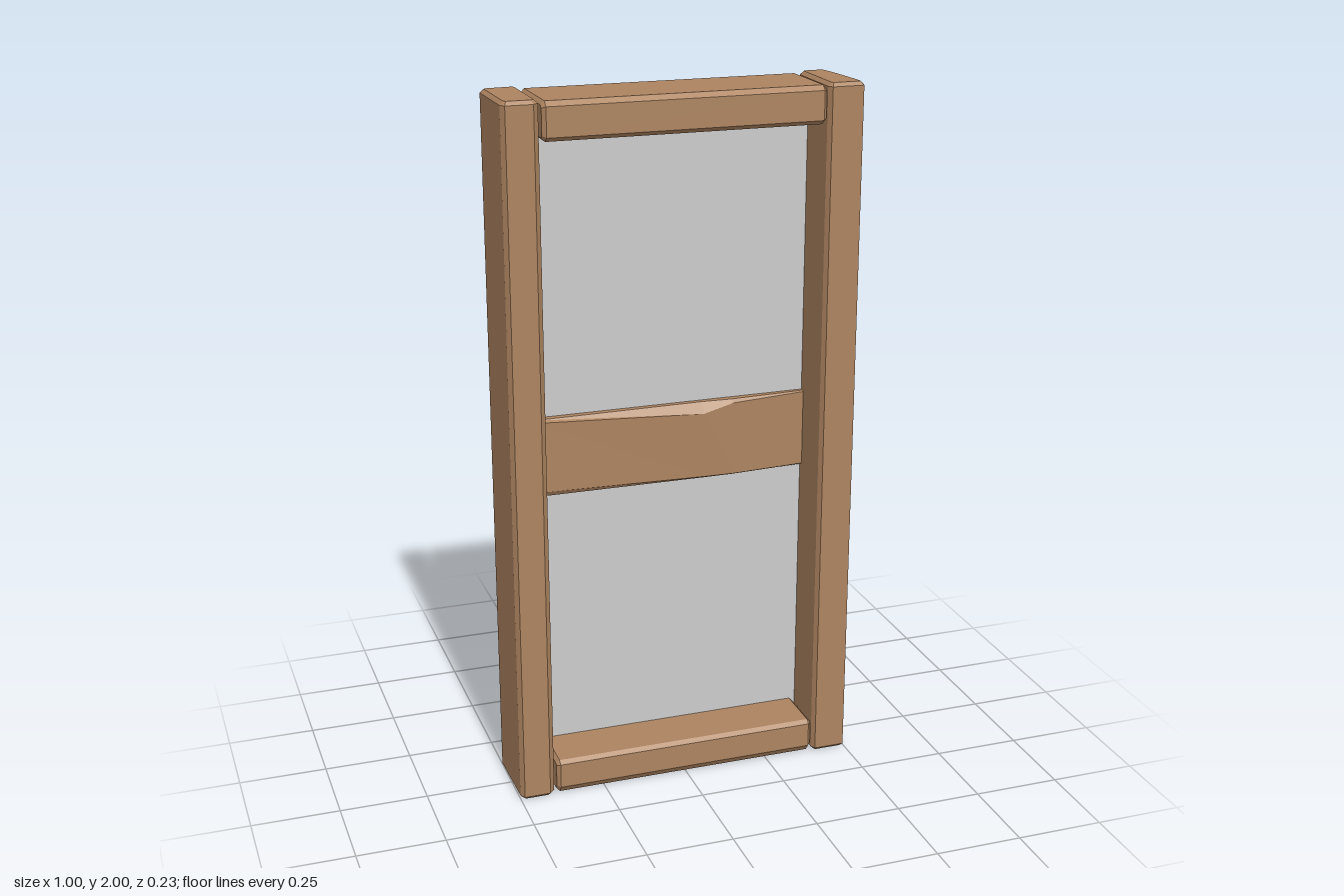
import * as THREE from 'three';

const wood = new THREE.MeshStandardMaterial({ color: 0xad8460, flatShading: true });
const glass = new THREE.MeshStandardMaterial({ color: 0xcccccc, side: THREE.DoubleSide });

// Timber with the given cross-section, chamfered at both ends, running from 0 to length
function timber(points, length, bevel) {
  const shape = new THREE.Shape(points.map(([a, b]) => new THREE.Vector2(a, b)));
  const geometry = new THREE.ExtrudeGeometry(shape, {
    depth: length - 2 * bevel, bevelEnabled: true, bevelThickness: bevel,
    bevelSize: bevel, bevelOffset: -bevel, bevelSegments: 1,
  });
  return geometry.translate(0, 0, bevel);
}

function add(group, name, geometry, material) {
  const mesh = new THREE.Mesh(geometry, material);
  mesh.name = name;
  group.add(mesh);
}

// Upright: cross-section as [x, z]
function post(section) {
  return timber(section.map(([x, z]) => [x, -z]), 1.995, 0.01).rotateX(-Math.PI / 2).translate(0, 0.005, 0);
}

// Crosspiece: cross-section as [z, y]
function rail(section) {
  return timber(section.map(([z, y]) => [-z, y]), 0.785, 0.01).rotateY(Math.PI / 2).translate(-0.393, 0, 0);
}

// Middle rail with a hewn front: stations along x, each a loop of [z, y]
function middleRailGeometry() {
  const stations = [
    [-0.405, [[-0.1, 0.875], [-0.02, 0.875], [-0.01, 0.89], [-0.01, 1.095], [-0.02, 1.1], [-0.1, 1.1]]],
    [0.09, [[-0.1, 0.875], [-0.015, 0.875], [-0.008, 0.88], [-0.005, 1.07], [-0.025, 1.1], [-0.1, 1.1]]],
    [0.18, [[-0.1, 0.875], [-0.015, 0.875], [-0.01, 0.878], [-0.013, 1.09], [-0.02, 1.1], [-0.1, 1.1]]],
    [0.405, [[-0.1, 0.875], [-0.03, 0.875], [-0.026, 0.878], [-0.026, 1.097], [-0.03, 1.1], [-0.1, 1.1]]],
  ];
  const n = 6, positions = [], index = [];
  for (const [x, loop] of stations) for (const [z, y] of loop) positions.push(x, y, z);
  for (let s = 0; s < stations.length - 1; s++) {
    for (let i = 0; i < n; i++) {
      const a = s * n + i, b = s * n + (i + 1) % n;
      index.push(a, a + n, b, b, a + n, b + n);
    }
  }
  const last = (stations.length - 1) * n;
  for (let i = 1; i < n - 1; i++) {
    index.push(0, i, i + 1);
    index.push(last, last + i + 1, last + i);
  }
  const geometry = new THREE.BufferGeometry();
  geometry.setAttribute('position', new THREE.Float32BufferAttribute(positions, 3));
  geometry.setIndex(index);
  geometry.computeVertexNormals();
  return geometry;
}

export function createModel() {
  const group = new THREE.Group();
  group.name = 'window';

  // Uprights; the left one has a worn, rounded outer back
  add(group, 'rightPost', post([
    [-0.49, 0.115], [-0.415, 0.115], [-0.4, 0.1], [-0.4, -0.105], [-0.41, -0.118],
    [-0.49, -0.113], [-0.503, -0.1], [-0.5, 0.1],
  ]), wood);
  add(group, 'leftPost', post([
    [0.405, 0.115], [0.495, 0.115], [0.5, 0.1], [0.497, 0.05], [0.49, -0.03],
    [0.483, -0.08], [0.475, -0.118], [0.41, -0.118], [0.4, -0.105], [0.397, 0.1],
  ]), wood);

  // Top and bottom crosspieces
  add(group, 'topRail', rail([
    [-0.115, 1.9], [-0.1, 1.89], [0.1, 1.89], [0.115, 1.902],
    [0.115, 1.982], [0.1, 1.995], [-0.103, 1.995], [-0.115, 1.983],
  ]), wood);
  add(group, 'bottomRail', rail([
    [-0.115, 0.02], [-0.1, 0.008], [0.1, 0.008], [0.115, 0.028],
    [0.115, 0.1], [0.103, 0.11], [-0.103, 0.11], [-0.115, 0.098],
  ]), wood);
  add(group, 'middleRail', middleRailGeometry(), wood);

  // Pane running behind the middle rail
  add(group, 'pane', new THREE.BoxGeometry(0.82, 1.82, 0.01).translate(0, 1, -0.045), glass);

  return group;
}
